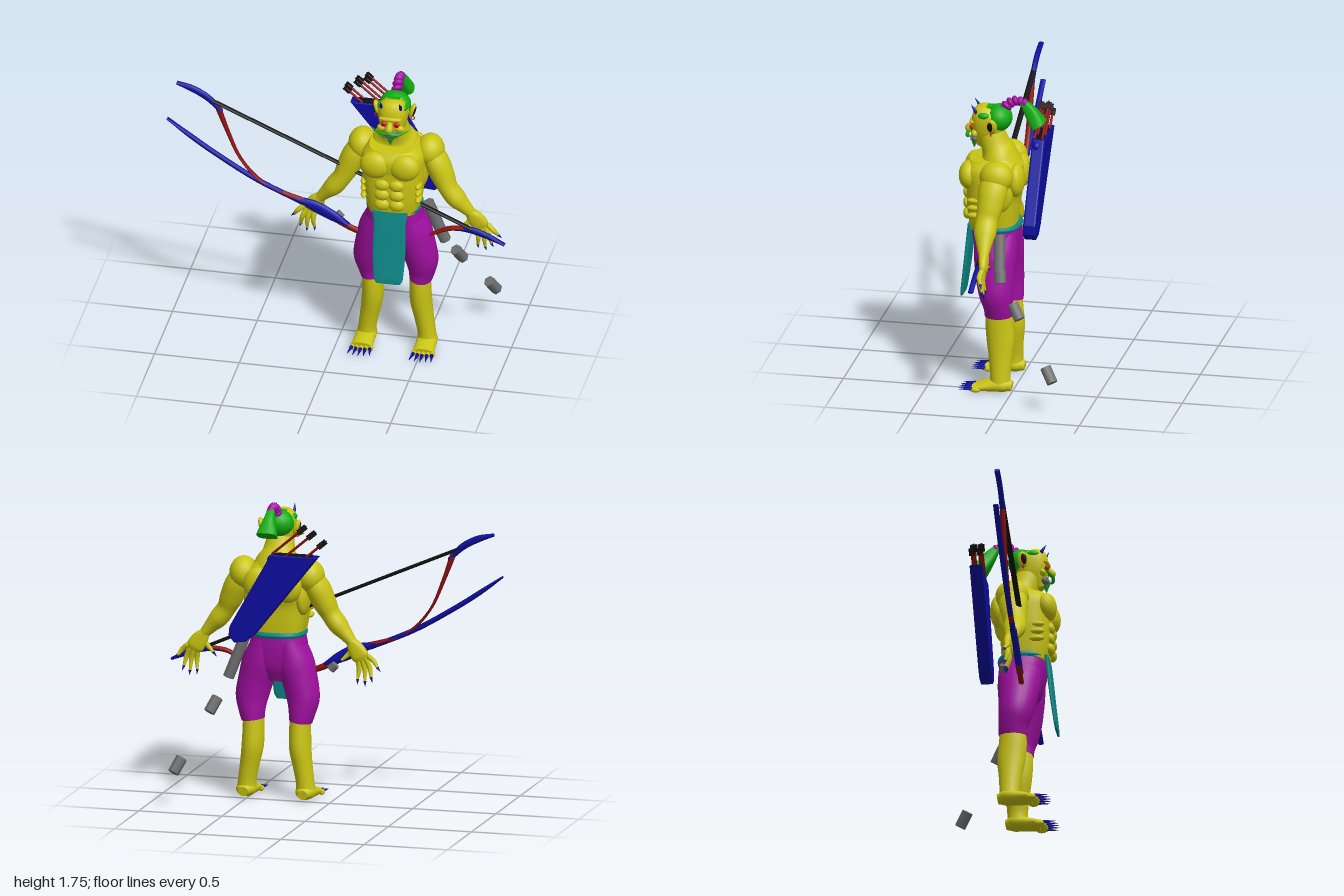
import * as THREE from 'three';

const mat = (name, color) => { const m = new THREE.MeshStandardMaterial({ color }); m.name = name; return m; };
const skin = mat('yellow skin', 0xcac513), purple = mat('purple cloth', 0xa00fa0), green = mat('green hair', 0x0fae0f),
  blue = mat('blue lacquer', 0x0d0da0), teal = mat('teal cloth', 0x0e8a8a), red = mat('dark red wood', 0x8c1010),
  eyeRed = mat('bright red', 0xdc1818), black = mat('black', 0x111111), grey = mat('grey metal', 0x707070);

const X = new THREE.Vector3(1, 0, 0), Y = new THREE.Vector3(0, 1, 0), Z = new THREE.Vector3(0, 0, 1);
const CX = 0.34; // the figure stands to one side of the bow

function add(parent, name, geo, material, x = 0, y = 0, z = 0) {
  const m = new THREE.Mesh(geo, material);
  m.name = name; m.position.set(x, y, z);
  parent.add(m);
  return m;
}

// Smooth closed body through sections [x, y, z, radiusA, radiusB]; n squares the ring
function loft(secs, { ref = Z, n = 2, seg = 20, sub = 4 } = {}) {
  const path = new THREE.CatmullRomCurve3(secs.map(s => new THREE.Vector3(s[0], s[1], s[2])));
  const radii = new THREE.CatmullRomCurve3(secs.map(s => new THREE.Vector3(s[3], s[4], 0)), false, 'catmullrom', 0.4);
  const steps = (secs.length - 1) * sub, pos = [], idx = [];
  const power = v => Math.sign(v) * Math.abs(v) ** (2 / n);
  for (let i = 0; i <= steps; i++) {
    const t = i / steps, c = path.getPoint(t), r = radii.getPoint(t), T = path.getTangent(t);
    const N = T.clone().cross(ref).normalize(), B = N.clone().cross(T);
    for (let j = 0; j < seg; j++) {
      const a = j / seg * Math.PI * 2;
      const p = c.clone().addScaledVector(N, r.x * power(Math.cos(a))).addScaledVector(B, r.y * power(Math.sin(a)));
      pos.push(p.x, p.y, p.z);
      if (i < steps) {
        const k = i * seg + j, l = i * seg + (j + 1) % seg;
        idx.push(k, k + seg, l, l, k + seg, l + seg);
      }
    }
  }
  // end caps with their own vertices
  for (const [ring, flip] of [[0, 0], [steps, 1]]) {
    const c = path.getPoint(ring / steps), base = pos.length / 3;
    pos.push(c.x, c.y, c.z, ...pos.slice(ring * seg * 3, (ring + 1) * seg * 3));
    for (let j = 0; j < seg; j++) {
      const p = base + 1 + j, q = base + 1 + (j + 1) % seg;
      idx.push(base, flip ? q : p, flip ? p : q);
    }
  }
  const g = new THREE.BufferGeometry();
  g.setAttribute('position', new THREE.Float32BufferAttribute(pos, 3));
  g.setIndex(idx); g.computeVertexNormals();
  return g;
}
const blob = (rx, ry, rz) => new THREE.SphereGeometry(1, 18, 12).scale(rx, ry, rz);
// Straight tapered rod between two points
function rod(a, b, r0, r1, seg = 8) {
  const A = new THREE.Vector3(...a), d = new THREE.Vector3(...b).sub(A);
  const g = new THREE.CylinderGeometry(r1, r0, d.length(), seg).translate(0, d.length() / 2, 0);
  return g.applyQuaternion(new THREE.Quaternion().setFromUnitVectors(Y, d.normalize())).translate(A.x, A.y, A.z);
}

function buildTorso(b) {
  add(b, 'torso', loft([[0, 0.96, 0.14, 0.15, 0.135], [0, 1.05, 0.145, 0.165, 0.145], [0, 1.15, 0.145, 0.18, 0.15],
    [0, 1.25, 0.135, 0.185, 0.165], [0, 1.33, 0.145, 0.18, 0.165], [0, 1.385, 0.15, 0.14, 0.13]], { n: 2.8, seg: 32 }), skin);
  add(b, 'neck', loft([[0, 1.32, 0.10, 0.16, 0.13], [0, 1.4, 0.115, 0.13, 0.1], [0, 1.45, 0.135, 0.095, 0.085],
    [0, 1.54, 0.17, 0.075, 0.08]], { seg: 24 }), skin);
  for (const s of [-1, 1]) {
    add(b, 'chestMuscle', blob(0.092, 0.085, 0.06), skin, s * 0.086, 1.285, 0.272);
    add(b, 'shoulderBlade', blob(0.085, 0.1, 0.05), skin, s * 0.09, 1.27, -0.005);
    add(b, 'sideMuscle', blob(0.04, 0.12, 0.1), skin, s * 0.155, 1.2, 0.1);
    for (let i = 0; i < 3; i++) {
      add(b, 'abdominal', blob(0.045, 0.036, 0.028), skin, s * 0.043, 1.035 + i * 0.065, 0.288);
      add(b, 'ribMuscle', blob(0.02, 0.018, 0.045), skin, s * 0.16, 1.06 + i * 0.045, 0.225);
    }
  }
}

function buildArm(b, s) {
  const P = secs => secs.map(([x, ...r]) => [s * x, ...r]);
  add(b, 'shoulder', blob(0.083, 0.095, 0.098), skin, s * 0.2, 1.318, 0.088);
  add(b, 'arm', loft(P([[0.19, 1.34, 0.09, 0.055, 0.07], [0.24, 1.25, 0.1, 0.072, 0.085], [0.28, 1.16, 0.11, 0.068, 0.075],
    [0.312, 1.095, 0.12, 0.056, 0.065], [0.36, 1.03, 0.12, 0.056, 0.065], [0.41, 0.975, 0.115, 0.04, 0.045],
    [0.445, 0.935, 0.11, 0.03, 0.033]])), skin);
  add(b, 'palm', loft(P([[0.435, 0.945, 0.11, 0.028, 0.03], [0.465, 0.905, 0.105, 0.047, 0.028], [0.495, 0.86, 0.1, 0.052, 0.024],
    [0.507, 0.838, 0.1, 0.04, 0.016]]), { n: 2.5 }), skin);
  // four fingers and a thumb, each with a claw
  const digits = [[0.54, 0.865, 0.6, 0.8], [0.525, 0.85, 0.562, 0.74], [0.505, 0.845, 0.525, 0.715], [0.48, 0.84, 0.482, 0.725],
    [0.45, 0.9, 0.385, 0.83]];
  for (const [x0, y0, x1, y1] of digits) {
    const mx = (x0 + x1) / 2 + 0.006, my = (y0 + y1) / 2;
    add(b, 'finger', loft(P([[x0, y0, 0.1, 0.016, 0.016], [mx, my, 0.108, 0.015, 0.016], [x1, y1, 0.095, 0.008, 0.009]]), { seg: 10 }), skin);
    const k = 0.03 / Math.hypot(x1 - x0, y1 - y0);
    add(b, 'fingerClaw', rod([s * x1, y1, 0.096], [s * (x1 + (x1 - x0) * k), y1 + (y1 - y0) * k, 0.088], 0.009, 0.001), blue);
  }
}

function buildLeg(b, s) {
  const P = secs => secs.map(([x, ...r]) => [s * x, ...r]);
  add(b, 'trouserLeg', loft(P([[0.075, 0.93, 0.12, 0.075, 0.125], [0.1, 0.8, 0.115, 0.11, 0.125], [0.135, 0.68, 0.11, 0.102, 0.112],
    [0.153, 0.59, 0.1, 0.096, 0.1], [0.15, 0.51, 0.087, 0.078, 0.087], [0.143, 0.455, 0.085, 0.066, 0.083]]), { seg: 24 }), purple);
  add(b, 'lowerLeg', loft(P([[0.14, 0.5, 0.085, 0.06, 0.075], [0.14, 0.4, 0.083, 0.062, 0.082], [0.143, 0.3, 0.075, 0.063, 0.082],
    [0.16, 0.19, 0.072, 0.056, 0.068], [0.174, 0.1, 0.07, 0.053, 0.06], [0.178, 0.04, 0.07, 0.058, 0.06]])), skin);
  add(b, 'foot', loft(P([[0.178, 0.038, 0, 0.03, 0.028], [0.178, 0.045, 0.05, 0.058, 0.044], [0.18, 0.037, 0.13, 0.06, 0.036],
    [0.182, 0.026, 0.205, 0.064, 0.024]]), { ref: Y }), skin);
  for (let i = 0; i < 5; i++) {
    const u = i / 2 - 1, x = 0.182 + u * 0.054, z = 0.235 - 0.012 * u * u;
    add(b, 'toe', blob(0.015, 0.016, 0.032), skin, s * x, 0.019, z - 0.018);
    add(b, 'toeClaw', rod([s * x, 0.024, z], [s * (x + u * 0.012), 0.02, z + 0.075], 0.011, 0.001), blue);
  }
}

function buildClothes(b) {
  add(b, 'trouserSeat', loft([[0, 0.975, 0.13, 0.152, 0.138], [0, 0.89, 0.125, 0.168, 0.135], [0, 0.78, 0.115, 0.15, 0.115],
    [0, 0.69, 0.11, 0.06, 0.07]], { n: 2.4, seg: 28 }), purple);
  add(b, 'belt', loft([[0, 0.955, 0.13, 0.156, 0.142], [0, 0.97, 0.13, 0.163, 0.15], [0, 0.986, 0.13, 0.158, 0.145]], { n: 2.5, seg: 32 }), teal);
  add(b, 'loincloth', loft([[0, 0.98, 0.27, 0.105, 0.013], [0, 0.9, 0.28, 0.095, 0.013], [0, 0.72, 0.3, 0.097, 0.011],
    [0, 0.56, 0.32, 0.086, 0.009], [0, 0.53, 0.323, 0.07, 0.007]], { n: 4, seg: 24 }), teal);
}

function buildHead(b) {
  add(b, 'head', loft([[0, 1.445, 0.23, 0.032, 0.03], [0, 1.49, 0.2, 0.062, 0.072], [0, 1.54, 0.182, 0.08, 0.09],
    [0, 1.6, 0.175, 0.087, 0.098], [0, 1.645, 0.17, 0.08, 0.09], [0, 1.675, 0.16, 0.045, 0.05]], { n: 2.4, seg: 24 }), skin);
  add(b, 'brow', blob(0.07, 0.016, 0.022), skin, 0, 1.592, 0.262);
  add(b, 'nose', loft([[0, 1.575, 0.265, 0.012, 0.012], [0, 1.54, 0.295, 0.022, 0.02], [0, 1.522, 0.295, 0.016, 0.014]], { seg: 12 }), skin);
  add(b, 'mouth', blob(0.05, 0.028, 0.03), grey, 0, 1.487, 0.25);
  add(b, 'goatee', rod([0, 1.465, 0.26], [0, 1.42, 0.262], 0.02, 0.001), green);
  add(b, 'hairCap', blob(0.092, 0.08, 0.078), green, 0, 1.615, 0.115);
  add(b, 'hairTop', new THREE.BoxGeometry(0.07, 0.02, 0.1), green, 0, 1.673, 0.16);
  for (const s of [-1, 1]) {
    add(b, 'eye', blob(0.019, 0.017, 0.012), eyeRed, s * 0.038, 1.56, 0.268);
    add(b, 'pupil', blob(0.006, 0.006, 0.004), black, s * 0.038, 1.56, 0.279);
    add(b, 'tusk', rod([s * 0.034, 1.475, 0.268], [s * 0.04, 1.515, 0.28], 0.007, 0.001), grey);
    add(b, 'cheek', blob(0.026, 0.022, 0.02), skin, s * 0.054, 1.525, 0.248);
    add(b, 'moustache', loft([[0, 1.513, 0.3, 0.01, 0.01], [s * 0.05, 1.508, 0.292, 0.009, 0.009], [s * 0.112, 1.527, 0.26, 0.002, 0.002]], { seg: 8 }), green);
    add(b, 'sidelock', blob(0.018, 0.02, 0.035), green, s * 0.072, 1.64, 0.19);
    add(b, 'horn', loft([[s * 0.045, 1.63, 0.225, 0.014, 0.014], [s * 0.058, 1.665, 0.245, 0.009, 0.009], [s * 0.054, 1.7, 0.268, 0.001, 0.001]], { seg: 10 }), blue);
    const ear = add(b, 'ear', blob(0.018, 0.048, 0.03), skin, s * 0.104, 1.59, 0.135);
    ear.rotation.z = -s * 0.3;
    const inner = add(b, 'innerEar', blob(0.008, 0.032, 0.019), black, s * 0.116, 1.59, 0.142);
    inner.rotation.z = -s * 0.3;
    add(b, 'earring', new THREE.TorusGeometry(0.01, 0.003, 6, 12), eyeRed, s * 0.108, 1.545, 0.14);
  }
  // wrapped topknot and flared ponytail
  const knot = new THREE.CatmullRomCurve3([[0, 1.665, 0.09], [0, 1.705, 0.055], [0, 1.725, 0.01], [0, 1.715, -0.035]].map(p => new THREE.Vector3(...p)));
  for (let i = 0; i < 6; i++) {
    const t = i / 5, p = knot.getPoint(t), r = 0.037 - 0.011 * t;
    add(b, 'topknotWrap', blob(r, r, 0.019), purple, p.x, p.y, p.z).lookAt(p.clone().add(knot.getTangent(t)));
  }
  add(b, 'ponytail', loft([[0, 1.722, -0.025, 0.02, 0.02], [0, 1.665, -0.07, 0.038, 0.034], [0, 1.585, -0.122, 0.045, 0.062]],
    { ref: X, n: 3, seg: 16 }), green);
}

function buildQuiver(g) {
  const shape = new THREE.Shape([[0.04, 1.475], [0.42, 1.0], [0.47, 0.96], [0.53, 0.955], [0.56, 0.99], [0.555, 1.04], [0.31, 1.475]]
    .map(p => new THREE.Vector2(...p)));
  const geo = new THREE.ExtrudeGeometry(shape, { depth: 0.054, bevelSize: 0.006, bevelThickness: 0.01, bevelSegments: 2 });
  add(g, 'quiver', geo, blue, 0, 0, -0.137);
  add(g, 'quiverOpening', new THREE.BoxGeometry(0.22, 0.006, 0.05), black, 0.18, 1.481, -0.11);
  add(g, 'quiverKnot', blob(0.035, 0.035, 0.03), blue, 0.31, 1.44, -0.1);
  for (const z of [-0.088, -0.132]) for (const [x, y] of [[0.005, 1.56], [0.068, 1.61], [0.125, 1.64]]) {
    const at = k => [x + 0.14 * k, y - 0.12 * k, z];
    add(g, 'arrowShaft', rod(at(0), at(1.3), 0.007, 0.007), red);
    for (const turn of [0, 1]) {
      const f = add(g, 'arrowFeather', new THREE.BoxGeometry(0.045, turn ? 0.006 : 0.032, turn ? 0.032 : 0.006), black, x + 0.008, y - 0.007, z);
      f.rotation.z = -0.71;
    }
  }
}

function buildBow(g) {
  const z = 0.143;
  const limb = (name, m, pts, rz = 0.016) => add(g, name, loft(pts.map(([x, y, r]) => [x, y, z, r, rz]), { seg: 12, sub: 6 }), m);
  limb('upperTip', blue, [[-0.945, 1.615, 0.01], [-0.85, 1.585, 0.02], [-0.76, 1.535, 0.02], [-0.68, 1.455, 0.012]]);
  limb('upperLimb', red, [[-0.7, 1.48, 0.018], [-0.645, 1.33, 0.012], [-0.57, 1.16, 0.008], [-0.46, 1.03, 0.009], [-0.33, 0.96, 0.015], [-0.17, 0.91, 0.018]]);
  limb('longBlade', blue, [[-1, 1.37, 0.006], [-0.87, 1.275, 0.014], [-0.73, 1.18, 0.015], [-0.47, 1.025, 0.015], [-0.2, 0.905, 0.015]]);
  limb('grip', blue, [[-0.24, 0.93, 0.012], [-0.12, 0.885, 0.036], [-0.02, 0.835, 0.032], [0.07, 0.79, 0.01]], 0.02);
  limb('lowerLimb', red, [[-0.02, 0.825, 0.02], [0.13, 0.755, 0.018], [0.34, 0.73, 0.01], [0.55, 0.785, 0.009], [0.66, 0.835, 0.014], [0.75, 0.845, 0.015]]);
  limb('lowerTip', blue, [[0.71, 0.84, 0.01], [0.79, 0.84, 0.02], [0.89, 0.81, 0.018], [0.99, 0.765, 0.008]]);
  limb('bowString', black, [[-0.77, 1.535, 0.01], [0.035, 1.183, 0.01], [0.84, 0.825, 0.01]]);
}

// Loose weights trailing from the hip
function buildChain(g) {
  const links = [[0.535, 0.925, 0.07], [0.56, 0.86, 0.065], [0.585, 0.795, 0.06], [0.607, 0.735, 0.05], [0.68, 0.555, -0.06], [0.83, 0.235, -0.285]];
  links.forEach(([x, y, z], i) => {
    const m = add(g, 'chainWeight', new THREE.CylinderGeometry(0.034, 0.034, i < 4 ? 0.075 : 0.1, 6), grey, x, y, z);
    m.rotation.set(i < 4 ? 0.1 : 0.55, 0, 0.37);
  });
  add(g, 'handWeight', rod([-0.02, 0.81, 0.06], [0.01, 0.78, 0.06], 0.025, 0.025), grey);
}

export function createModel() {
  const model = new THREE.Group();
  model.name = 'hornedArcher';
  const body = new THREE.Group();
  body.name = 'body';
  body.position.x = CX;
  model.add(body);
  buildTorso(body);
  buildClothes(body);
  buildHead(body);
  for (const s of [-1, 1]) { buildArm(body, s); buildLeg(body, s); }
  buildQuiver(model);
  buildBow(model);
  buildChain(model);
  return model;
}
